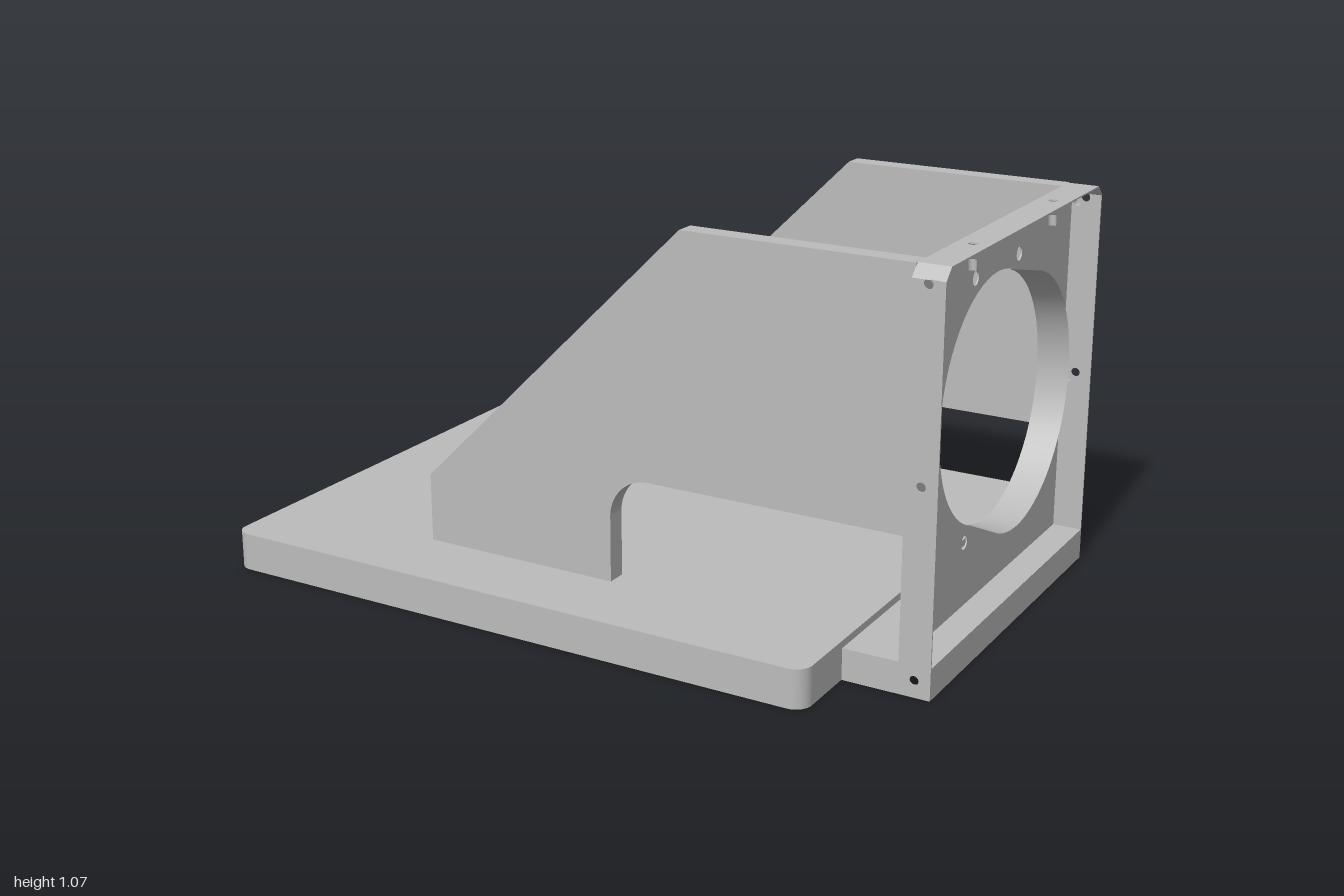
import * as THREE from 'three';

const T = 0.004; // sheet thickness of the end frame

function polygon(points) {
  return new THREE.Shape(points.map(([x, y]) => new THREE.Vector2(x, y)));
}

function punch(shape, x, y, r) {
  shape.holes.push(new THREE.Path().absarc(x, y, r, 0, Math.PI * 2, true));
}

function extrude(shape, depth, curveSegments = 16) {
  return new THREE.ExtrudeGeometry(shape, { depth, bevelEnabled: false, curveSegments });
}

// Open tube along y whose wall faces inwards
function bore(rTop, rBottom, length, sides) {
  const g = new THREE.CylinderGeometry(rTop, rBottom, length, sides, 1, true);
  g.index.array.reverse();
  g.computeVertexNormals();
  return g;
}

export function createModel() {
  const model = new THREE.Group();
  model.name = 'motorBracket';
  const grey = new THREE.MeshStandardMaterial({ color: 0xbcbcbc });
  grey.name = 'plainGrey';

  const add = (name, geometry, x = 0, y = 0, z = 0) => {
    const mesh = new THREE.Mesh(geometry, grey);
    mesh.name = name;
    mesh.position.set(x, y, z);
    model.add(mesh);
    return mesh;
  };

  // Base plate with rounded corners
  const x0 = -1, x1 = 0.765, w = 0.725, r = 0.045;
  const base = new THREE.Shape();
  base.absarc(x1 - r, w - r, r, 0, Math.PI / 2);
  base.absarc(x0 + r, w - r, r, Math.PI / 2, Math.PI);
  base.absarc(x0 + r, -w + r, r, Math.PI, Math.PI * 1.5);
  base.absarc(x1 - r, -w + r, r, Math.PI * 1.5, Math.PI * 2);
  base.closePath();
  add('basePlate', extrude(base, 0.105).rotateX(-Math.PI / 2));

  // Sloping side walls with a rounded cut-out
  const wall = polygon([[0.085, 0.105], [-0.49, 0.105], [-0.49, 0.295],
    [0.29, 1.07], [0.916, 1.07], [0.916, 0.4], [0.2, 0.4]]);
  wall.absarc(0.2, 0.285, 0.115, Math.PI / 2, Math.PI, false);
  const wallGeometry = extrude(wall, 0.055);
  add('leftSideWall', wallGeometry, 0, 0, 0.4425);
  add('rightSideWall', wallGeometry, 0, 0, -0.4975);

  // End panel with the large opening and a ring of bolt holes
  const hw = 0.52, top = 1.07, c = 0.03, cy = 0.607;
  const panel = polygon([[-hw, 0.085], [hw, 0.085], [hw, top - c],
    [hw - c, top], [-hw + c, top], [-hw, top - c]]);
  punch(panel, 0, cy, 0.33);
  for (let i = 0; i < 8; i++) {
    const a = (i + 0.5) * Math.PI / 4;
    punch(panel, Math.cos(a) * 0.374, cy + Math.sin(a) * 0.374, 0.019);
  }
  add('endPanel', extrude(panel, T, 32).rotateY(Math.PI / 2), 0.915);

  // Inner wall of the large opening
  add('openingWall', bore(0.328, 0.335, 0.085, 64).rotateZ(Math.PI / 2), 0.9575, cy, 0);

  // Frame sides, continuing down into the ends of the ledge
  const side = polygon([[0.765, 0], [1, 0], [1, top - c], [0.915, top - c],
    [0.915, 0.085], [0.765, 0.085]]);
  const screwHeights = [0.045, 0.54, 1.03];
  for (const y of screwHeights) punch(side, 0.957, y, 0.012);
  const sideGeometry = extrude(side, T);
  add('leftFrameSide', sideGeometry, 0, 0, hw - T);
  add('rightFrameSide', sideGeometry, 0, 0, -hw);

  // Frame top with two screw holes
  const lid = polygon([[0.915, -hw + c], [1, -hw + c], [1, hw - c], [0.915, hw - c]]);
  for (const z of [-0.265, 0.265]) punch(lid, 0.957, z, 0.012);
  add('frameTop', extrude(lid, T).rotateX(-Math.PI / 2), 0, top - T, 0);

  // Ledge, open underneath
  add('ledgeTop', new THREE.BoxGeometry(0.235, T, hw * 2), 0.8825, 0.085 - T / 2, 0);
  add('ledgeFront', new THREE.BoxGeometry(T, 0.085, hw * 2), 1 - T / 2, 0.0425, 0);

  for (const s of [-1, 1]) {
    const name = s > 0 ? 'left' : 'right';
    // Chamfered corner strip
    const strip = polygon([[s * hw, top - c], [s * (hw - c), top],
      [s * (hw - c), top - T], [s * (hw - T), top - c]]);
    add(name + 'CornerChamfer', extrude(strip, 0.085).rotateY(-Math.PI / 2)
      , 1, 0, 0);
    // Screw sleeves inside the frame
    for (const y of screwHeights) {
      add(name + 'SideSleeve', bore(0.011, 0.011, 0.028, 12).rotateX(Math.PI / 2), 0.957, y, s * 0.464);
    }
    add(name + 'TopSleeve', bore(0.011, 0.011, 0.028, 12), 0.957, 1.016, s * 0.265);
  }

  return model;
}
